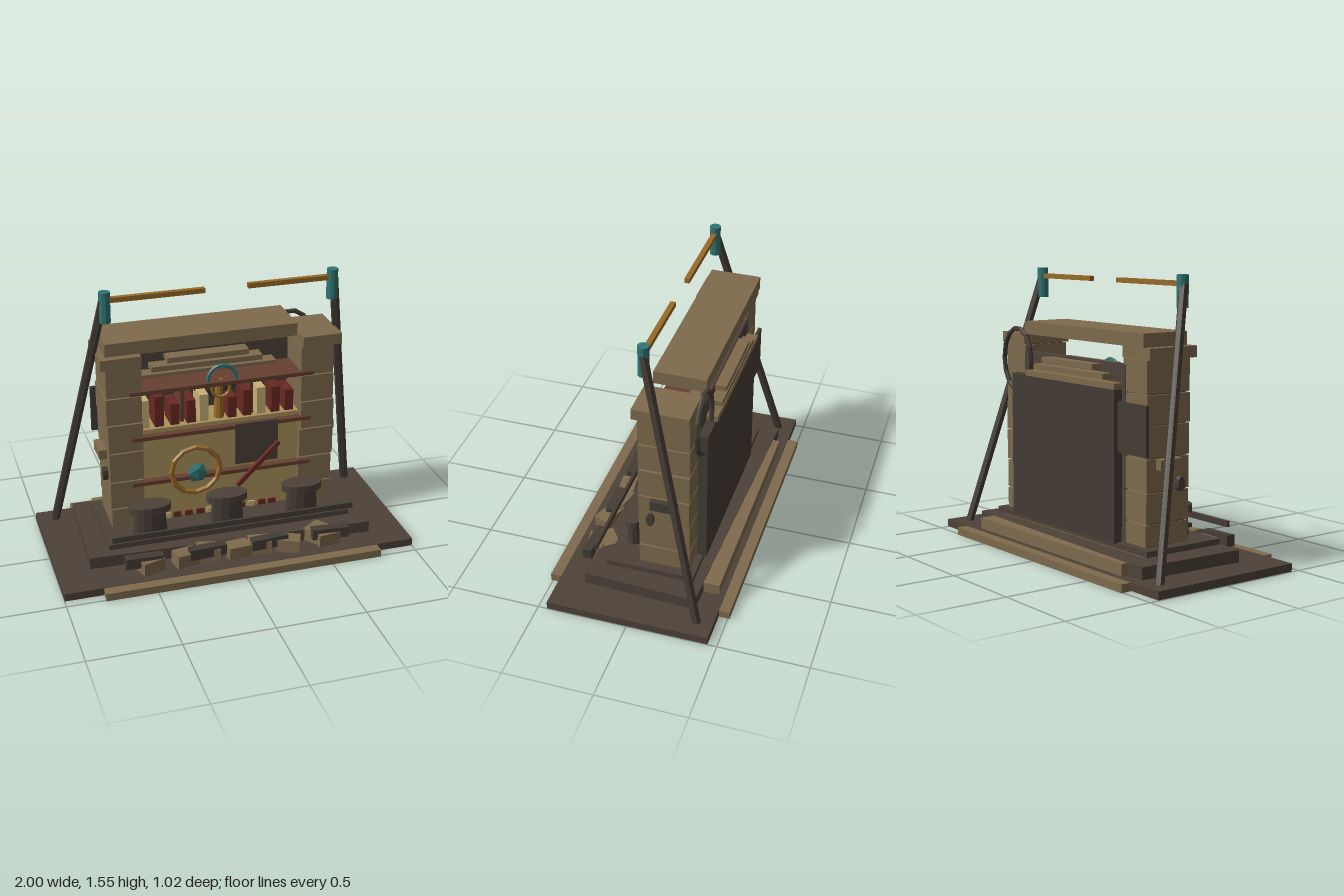
import * as THREE from 'three';

export function createModel() {
  const model = new THREE.Group();
  model.name = 'ruinedShelfShrine';

  const mat = (name, color) => {
    const m = new THREE.MeshStandardMaterial({ color, flatShading: true });
    m.name = name;
    return m;
  };
  const dark = mat('darkStone', 0x4d4238);
  const stone = mat('brownStone', 0x7e6a4d);
  const iron = mat('darkIron', 0x443c34);
  const teal = mat('teal', 0x2f7572);
  const brass = mat('brass', 0x976a28);
  const red = mat('redCloth', 0x6a2922);
  const wood = mat('redWood', 0x65402f);
  const cream = mat('creamPaper', 0xc8b177);
  const tan = mat('tanPanel', 0xab925c);

  let seed = 7;
  const jitter = (a) => {
    seed = (seed * 16807) % 2147483647;
    return (seed / 2147483647 - 0.5) * 2 * a;
  };
  const add = (name, geo, m, x = 0, y = 0, z = 0) => {
    const mesh = new THREE.Mesh(geo, m);
    mesh.name = name;
    mesh.position.set(x, y, z);
    model.add(mesh);
    return mesh;
  };
  // Box given by its extents on each axis
  const box = (name, m, x0, x1, y0, y1, z0, z1) =>
    add(name, new THREE.BoxGeometry(x1 - x0, y1 - y0, z1 - z0), m,
      (x0 + x1) / 2, (y0 + y1) / 2, (z0 + z1) / 2);
  // Straight rod between two points
  const rod = (name, m, a, b, r, sides) => {
    const p = new THREE.Vector3(...a), q = new THREE.Vector3(...b);
    const mid = p.clone().add(q).multiplyScalar(0.5);
    const mesh = add(name, new THREE.CylinderGeometry(r, r, p.distanceTo(q), sides), m, mid.x, mid.y, mid.z);
    mesh.quaternion.setFromUnitVectors(new THREE.Vector3(0, 1, 0), q.sub(p).normalize());
    return mesh;
  };

  // Stepped base
  box('baseSlab', dark, -1, 1, 0.002, 0.046, -0.45, 0.45);
  box('baseCrossSlab', stone, -0.785, 0.785, 0, 0.044, -0.51, 0.51);
  box('middleStep', dark, -0.805, 0.805, 0.045, 0.113, -0.355, 0.275).rotation.y = -0.038;
  box('backStep', stone, -0.67, 0.67, 0.045, 0.11, -0.42, -0.2);
  box('topStepCore', stone, -0.66, 0.66, 0.11, 0.126, -0.26, 0.18);
  box('topStep', dark, -0.7, 0.7, 0.125, 0.156, -0.28, 0.21);

  // Pillars of stacked blocks with caps
  const courses = [0.156, 0.277, 0.443, 0.62, 0.79, 0.95, 1.128];
  for (const s of [-1, 1]) {
    for (let i = 0; i < 6; i++) {
      const w = 0.096 + jitter(0.004);
      const cx = s * 0.552 + jitter(0.004);
      box('pillarBlock', stone, cx - w, cx + w, courses[i] + 0.003, courses[i + 1] - 0.004, -0.242, 0.038)
        .rotation.y = jitter(0.012);
    }
    box('pillarCore', dark, s * 0.55 - 0.085, s * 0.55 + 0.085, 0.15, 1.13, -0.22, 0.02);
    box('pillarCap', stone, s * 0.568 - 0.112, s * 0.568 + 0.112, 1.128, 1.188, -0.25, 0.058);
    // Bracket and boss on the outer side
    box('sideBracket', s > 0 ? iron : stone, s * 0.665 - 0.022, s * 0.665 + 0.022, 0.56, 0.615, -0.18, -0.035);
    const boss = add('sideBoss', new THREE.CylinderGeometry(0.04, 0.04, 0.03, 10), iron, s * 0.658, 0.475, -0.03);
    boss.rotation.z = Math.PI / 2;
    boss.scale.z = 0.55;
  }
  box('brokenLintel', stone, -0.645, 0.43, 1.19, 1.262, -0.265, 0.02);

  // Rear walls and stepped slats
  box('innerWall', dark, -0.472, 0.46, 0.15, 1.09, -0.245, -0.2);
  box('rearPanel', iron, -0.445, 0.51, 0.15, 0.965, -0.298, -0.246);
  box('rearLoosePlate', iron, -0.68, -0.43, 0.635, 0.9, -0.275, -0.255);
  const slats = [[-0.46, 0.36, 0.963, 0.995], [-0.36, 0.28, 1.007, 1.037], [-0.27, 0.2, 1.05, 1.08]];
  for (const [x0, x1, y0, y1] of slats) box('steppedSlat', stone, x0, x1, y0, y1, -0.308, -0.12);

  // Hanging oval hoop at the rear
  const hoop = add('rearHoop', new THREE.TorusGeometry(0.178, 0.014, 6, 14), iron, 0.49, 1.042, -0.273);
  hoop.scale.x = 0.77;

  // Cabinet and shelf boards
  box('cabinet', tan, -0.46, 0.455, 0.156, 0.725, -0.2, 0.005);
  for (const [y, w] of [[0.413, 0.52], [0.69, 0.515], [0.965, 0.525]])
    box('shelfBoard', wood, -w, w, y - 0.011, y + 0.011, -0.17, 0.047);
  for (const x of [-0.21, 0.19])
    box('shelfDivider', wood, x - 0.01, x + 0.01, 0.725, 0.955, -0.18, -0.04);

  // Books: centre x, top y, material
  const books = [
    [-0.43, 0.89, cream], [-0.347, 0.905, red], [-0.258, 0.85, red], [-0.165, 0.86, red],
    [-0.092, 0.885, cream], [0.072, 0.85, red], [0.16, 0.88, red], [0.24, 0.885, cream],
    [0.325, 0.88, red], [0.405, 0.85, red],
  ];
  for (const [x, top, m] of books) {
    box('book', m, x - 0.025, x + 0.025, 0.715, top, -0.15, -0.015);
    box('lowBook', m, x * 0.75 - 0.022, x * 0.75 + 0.022, 0.156, 0.165 + top * 0.025, -0.05, 0.015);
  }

  // Lantern and crest in the middle
  const rock = add('crestRock', new THREE.IcosahedronGeometry(0.13, 0), iron, 0, 0.9, -0.13);
  rock.scale.set(1.25, 0.75, 0.35);
  add('crestArch', new THREE.TorusGeometry(0.08, 0.011, 6, 12, Math.PI * 1.15), teal, 0, 0.985, 0.02)
    .rotation.z = -Math.PI * 0.075;
  add('lanternRing', new THREE.TorusGeometry(0.052, 0.009, 6, 12), brass, 0, 0.92, 0.0);
  add('lanternBody', new THREE.CylinderGeometry(0.022, 0.03, 0.22, 8), brass, 0, 0.84, -0.04);

  // Wheel with a gem
  add('wheel', new THREE.TorusGeometry(0.141, 0.016, 6, 12), brass, -0.16, 0.46, 0.048);
  const gem = add('wheelGem', new THREE.IcosahedronGeometry(0.062, 0), teal, -0.16, 0.46, 0.08);
  gem.scale.z = 0.42;

  // Notice plate and leaning staff
  box('noticePlate', dark, 0.07, 0.32, 0.462, 0.71, 0.042, 0.052);
  const staff = box('leaningStaff', red, 0.025, 0.365, 0.451, 0.475, 0.07, 0.09);
  staff.rotation.z = Math.PI / 4;

  // Oval stools
  for (const x of [-0.445, 0, 0.445]) {
    const stem = add('stoolStem', new THREE.CylinderGeometry(0.087, 0.098, 0.13, 12), iron, x, 0.22, 0.117);
    const seat = add('stoolSeat', new THREE.CylinderGeometry(0.12, 0.12, 0.042, 16), dark, x, 0.306, 0.117);
    stem.scale.z = seat.scale.z = 0.53;
  }
  box('frontRail', iron, -0.695, 0.695, 0.208, 0.24, 0.268, 0.284);

  // Kerb stones and rubble
  for (let i = 0; i < 4; i++) {
    const kerb = box('kerbStone', iron, -0.105, 0.105, 0.08, 0.143, 0.318, 0.37);
    kerb.position.x = -0.537 + i * 0.358;
    kerb.rotation.set(0, jitter(0.06), jitter(0.04));
  }
  const rubble = [[-0.5, 0.345, 0.3], [-0.3, 0.33, 0.2], [-0.17, 0.32, -0.15], [0.0, 0.33, 0.1],
    [0.13, 0.32, -0.2], [0.29, 0.35, -0.4], [0.48, 0.28, 0.65], [0.52, 0.34, 0.15]];
  for (const [x, z, a] of rubble)
    add('rubbleStone', new THREE.BoxGeometry(0.13, 0.075, 0.09), stone, x, 0.083 + jitter(0.008), z)
      .rotation.set(0, a, jitter(0.05));

  // Leaning masts with sockets and broken cross arms
  for (const s of [-1, 1]) {
    rod('leaningMast', iron, [s * 0.9, 0.04, -0.36], [s * 0.64, 1.5, 0], 0.025, 6);
    add('mastSocket', new THREE.CylinderGeometry(0.031, 0.031, 0.17, 10), teal, s * 0.632, 1.465, 0);
  }
  box('leftCrossArm', brass, 0.15, 0.62, 1.49, 1.517, -0.014, 0.014);
  box('rightCrossArm', brass, -0.62, -0.09, 1.49, 1.517, -0.014, 0.014);

  return model;
}
